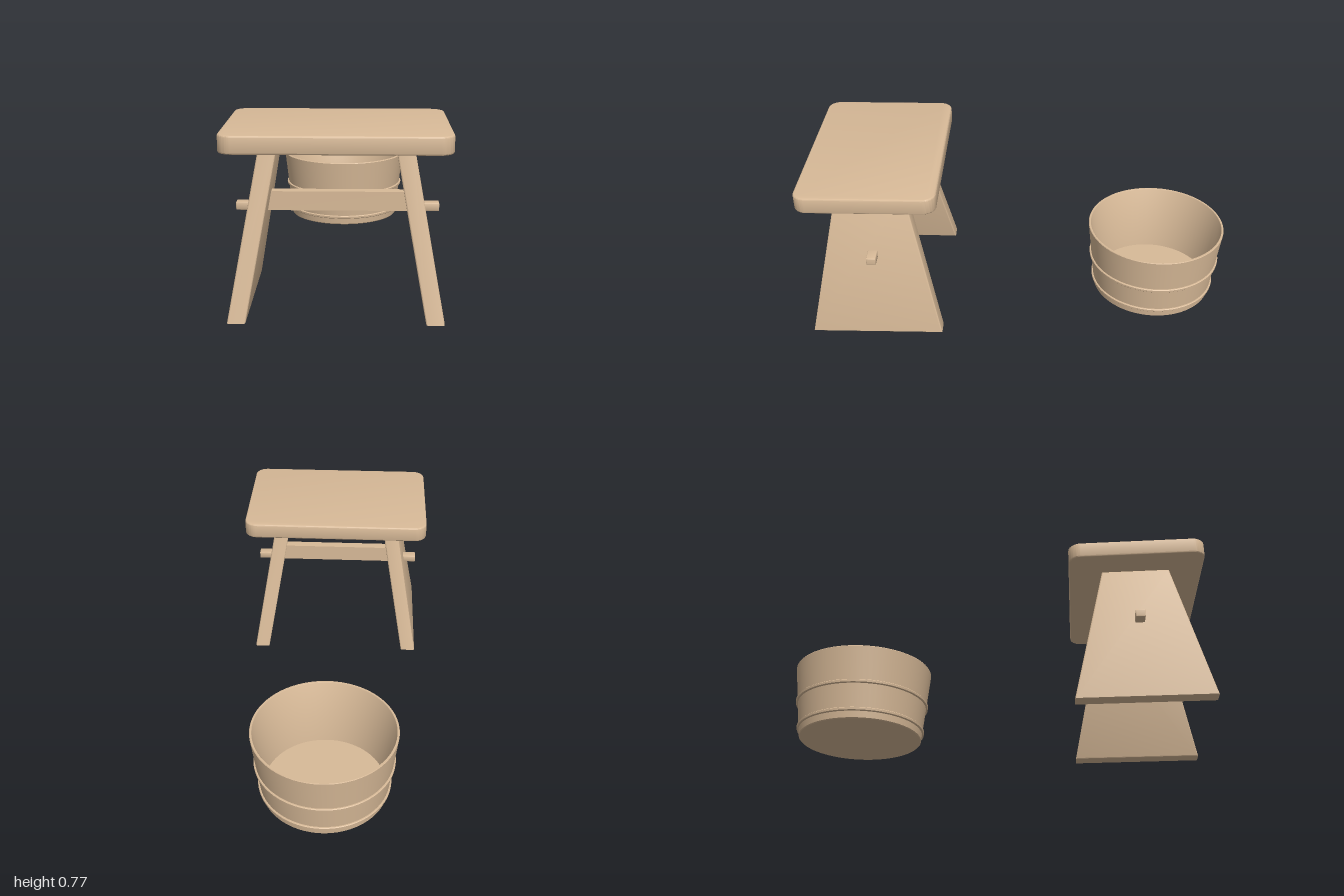
import * as THREE from 'three';
import { toCreasedNormals } from 'three/addons/utils/BufferGeometryUtils.js';

const wood = new THREE.MeshStandardMaterial({ color: 0xd8ba98 });
wood.name = 'pale wood';

function add(parent, name, geometry) {
  const mesh = new THREE.Mesh(geometry, wood);
  mesh.name = name;
  parent.add(mesh);
  return mesh;
}

// Board with softened edges, centred on its thickness
function board(shape, thickness, bevel) {
  const geo = new THREE.ExtrudeGeometry(shape, {
    depth: thickness - 2 * bevel, bevelEnabled: true, bevelThickness: bevel,
    bevelSize: bevel, bevelOffset: -bevel, bevelSegments: 3, curveSegments: 10,
  });
  return geo.translate(0, 0, bevel - thickness / 2);
}

function roundedRect(w, h, r) {
  const s = new THREE.Shape();
  s.absarc(w - r, h - r, r, 0, Math.PI / 2);
  s.absarc(r - w, h - r, r, Math.PI / 2, Math.PI);
  s.absarc(r - w, r - h, r, Math.PI, Math.PI * 1.5);
  s.absarc(w - r, r - h, r, Math.PI * 1.5, Math.PI * 2);
  s.closePath();
  return s;
}

// Tapered board, sheared so that it splays outward towards the floor
function legGeometry() {
  const shape = new THREE.Shape([[-0.31, 0], [0.31, 0], [0.158, 0.7], [-0.158, 0.7]]
    .map(([x, y]) => new THREE.Vector2(x, y)));
  const geo = board(shape, 0.075, 0.006).rotateY(Math.PI / 2);
  const p = geo.attributes.position;
  for (let i = 0; i < p.count; i++) {
    p.setX(i, p.getX(i) + 0.402 - 0.125 * p.getY(i) / 0.7);
  }
  return toCreasedNormals(geo, 0.6);
}

function lathe(points) {
  const profile = points.map(([r, y]) => new THREE.Vector2(r, y));
  return toCreasedNormals(new THREE.LatheGeometry(profile, 72), 0.5);
}

export function createModel() {
  const model = new THREE.Group();
  model.name = 'stoolAndTub';

  // Stool
  const stool = new THREE.Group();
  stool.name = 'stool';
  stool.position.z = 0.685;
  model.add(stool);

  const seat = board(roundedRect(0.463, 0.315, 0.06), 0.075, 0.007).rotateX(-Math.PI / 2);
  add(stool, 'seat', toCreasedNormals(seat, 0.6)).position.y = 0.737;

  const leg = legGeometry();
  add(stool, 'leftLeg', leg);
  add(stool, 'rightLeg', leg).rotation.y = Math.PI;

  // Stretcher between the legs, with tenons passing through them
  add(stool, 'stretcher', new THREE.BoxGeometry(0.64, 0.083, 0.044)).position.y = 0.4365;
  for (const side of [1, -1]) {
    const tenon = board(roundedRect(0.022, 0.0175, 0.003), 0.12, 0.003).rotateY(Math.PI / 2);
    add(stool, side > 0 ? 'leftTenon' : 'rightTenon', toCreasedNormals(tenon, 0.6))
      .position.set(side * 0.369, 0.4125, 0);
  }

  // Tub
  const tub = new THREE.Group();
  tub.name = 'tub';
  tub.position.z = -0.666;
  model.add(tub);

  add(tub, 'tubBody', lathe([
    [0, 0], [0.29, 0], [0.294, 0.004], [0.333, 0.349], [0.331, 0.352],
    [0.323, 0.352], [0.321, 0.349], [0.281, 0.02], [0, 0.02],
  ]));

  // Raised hoops following the slope of the wall
  for (const [name, y] of [['lowerHoop', 0.035], ['upperHoop', 0.168]]) {
    const r = 0.2935 + 0.113 * y;
    add(tub, name, lathe([
      [r - 0.004, y], [r + 0.006, y], [r + 0.009, y + 0.003],
      [r + 0.01, y + 0.013], [r + 0.007, y + 0.016], [r - 0.004, y + 0.016],
    ]));
  }
  return model;
}
